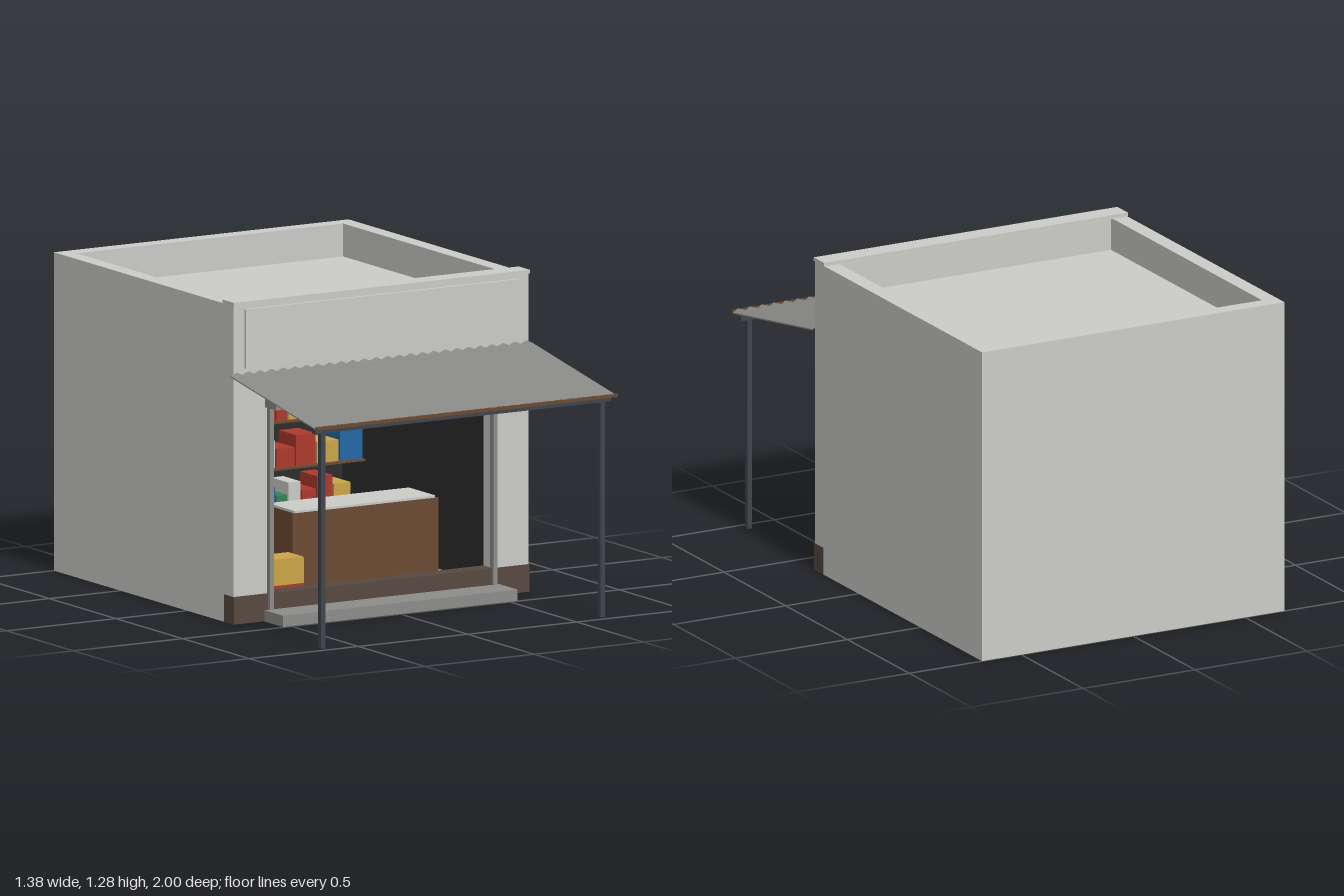
import * as THREE from 'three';

const paint = (name, color) => {
  const m = new THREE.MeshStandardMaterial({ color });
  m.name = name;
  return m;
};

export function createModel() {
  const wall = paint('plaster', 0xcbcbc8);
  const concrete = paint('concrete', 0x8c8c8a);
  const plinthMat = paint('plinth brown', 0x584940);
  const wood = paint('wood', 0x6c4a33);
  const dark = paint('dark interior', 0x2d2d2d);
  const steel = paint('steel', 0x3e454b);
  const red = paint('red', 0xae3a2e);
  const yellow = paint('yellow', 0xcba548);
  const blue = paint('blue', 0x2468a6);
  const green = paint('green', 0x368258);

  const shop = new THREE.Group();
  shop.name = 'shop';

  // Box given by its limits on each axis
  const box = (name, mat, [x0, x1], [y0, y1], [z0, z1], parent = shop) => {
    const mesh = new THREE.Mesh(new THREE.BoxGeometry(x1 - x0, y1 - y0, z1 - z0), mat);
    mesh.position.set((x0 + x1) / 2, (y0 + y1) / 2, (z0 + z1) / 2);
    mesh.name = name;
    parent.add(mesh);
    return mesh;
  };

  // Shell: walls, front piers and the wall above the opening
  const H = 1.266;
  for (const s of [-1, 1]) {
    const span = (a, b) => (s > 0 ? [a, b] : [-b, -a]);
    box('sideWall', wall, span(0.61, 0.675), [0, H], [-1, 0.35]);
    box('frontPier', wall, span(0.51, 0.61), [0, 0.85], [0.285, 0.35]);
    box('sideLining', dark, span(0.604, 0.61), [0.01, 1.07], [-0.935, 0.285]);
    box('doorFrame', concrete, span(0.503, 0.521), [0.045, 0.85], [0.345, 0.37]);
    box('awningPost', steel, span(0.63, 0.65), [0, 0.875], [0.945, 0.965]);
  }
  box('backWall', wall, [-0.61, 0.61], [0, H], [-1, -0.935]);
  box('frontWall', wall, [-0.61, 0.61], [0.85, H], [0.285, 0.35]);
  box('backLining', dark, [-0.604, 0.604], [0.01, 1.07], [-0.935, -0.929]);
  box('roof', wall, [-0.61, 0.61], [1.07, 1.135], [-0.935, 0.285]);
  box('floor', concrete, [-0.61, 0.61], [0.002, 0.01], [-0.935, 0.285]);

  // Facade trim
  box('cornice', wall, [-0.678, 0.678], [H, 1.281], [0.272, 0.357]);
  box('signPanel', wall, [-0.625, 0.625], [1.015, 1.25], [0.35, 0.363]);
  box('plinth', plinthMat, [-0.677, 0.677], [0.001, 0.11], [0.283, 0.356]);
  box('step', concrete, [-0.537, 0.537], [0, 0.045], [0.345, 0.495]);
  box('shutterBox', concrete, [-0.53, 0.53], [0.85, 0.935], [0.35, 0.43]);

  // Corrugated awning: a zigzag strip extruded down the slope
  const ridges = 26, halfW = 0.69, amp = 0.012, thick = 0.005;
  const zigzag = [];
  for (let i = 0; i <= ridges * 2; i++) {
    zigzag.push([-halfW + (i * halfW) / ridges, i % 2 ? 0 : -amp]);
  }
  const strip = new THREE.Shape([
    ...zigzag.map(([x, y]) => new THREE.Vector2(x, y - thick)),
    ...zigzag.reverse().map(([x, y]) => new THREE.Vector2(x, y)),
  ]);
  const awning = new THREE.Mesh(
    new THREE.ExtrudeGeometry(strip, { depth: 0.652, bevelEnabled: false }), concrete);
  awning.name = 'awning';
  awning.position.set(0, 1.002, 0.355);
  awning.rotation.x = Math.atan2(0.11, 0.645);
  shop.add(awning);
  box('awningEdge', wood, [-0.69, 0.69], [0.876, 0.889], [0.99, 1]);
  box('awningBeam', steel, [-0.678, 0.678], [0.855, 0.876], [0.945, 0.965]);

  // Shelves with rows of goods; sizes and colours repeat in cycles
  const shelves = new THREE.Group();
  shelves.name = 'shelves';
  shop.add(shelves);
  const widths = [0.048, 0.056, 0.063, 0.069, 0.077, 0.083, 0.09, 0.097, 0.104];
  const heights = [0.096, 0.062, 0.109, 0.074, 0.121, 0.085, 0.133];
  const colours = [red, red, yellow, blue, green, wall];
  const rows = [[0.175, 0, 1, 1], [0.36, 5, 1, 3], [0.546, 0, 0, 4], [0.731, 5, 0, 0]];
  for (const [y, w, h, c] of rows) {
    box('shelf', wood, [-0.6, 0.6], [y - 0.008, y], [-0.929, -0.75], shelves);
    let x = -0.543;
    for (let i = 0; x < 0.52; i++) {
      const width = widths[(w + i) % widths.length];
      const height = heights[(h + i) % heights.length];
      box('goods', colours[(c + i) % colours.length],
        [x, x + width], [y, y + height], [-0.9, -0.77], shelves);
      x += width + 0.0067;
    }
  }

  // Counter
  box('counterBody', wood, [-0.18, 0.45], [0.004, 0.34], [-0.175, 0]);
  box('counterFront', wood, [-0.2, 0.47], [0.004, 0.341], [0, 0.012]);
  box('counterTop', wall, [-0.187, 0.457], [0.34, 0.35], [-0.19, 0.008]);

  // Stacked crates
  box('lowerCrate', red, [-0.42, -0.255], [0.004, 0.1], [0.075, 0.19]);
  box('upperCrate', yellow, [-0.42, -0.255], [0.1, 0.2], [0.075, 0.19]);
  box('crateLid', yellow, [-0.417, -0.258], [0.2, 0.205], [0.078, 0.187]);

  return shop;
}
